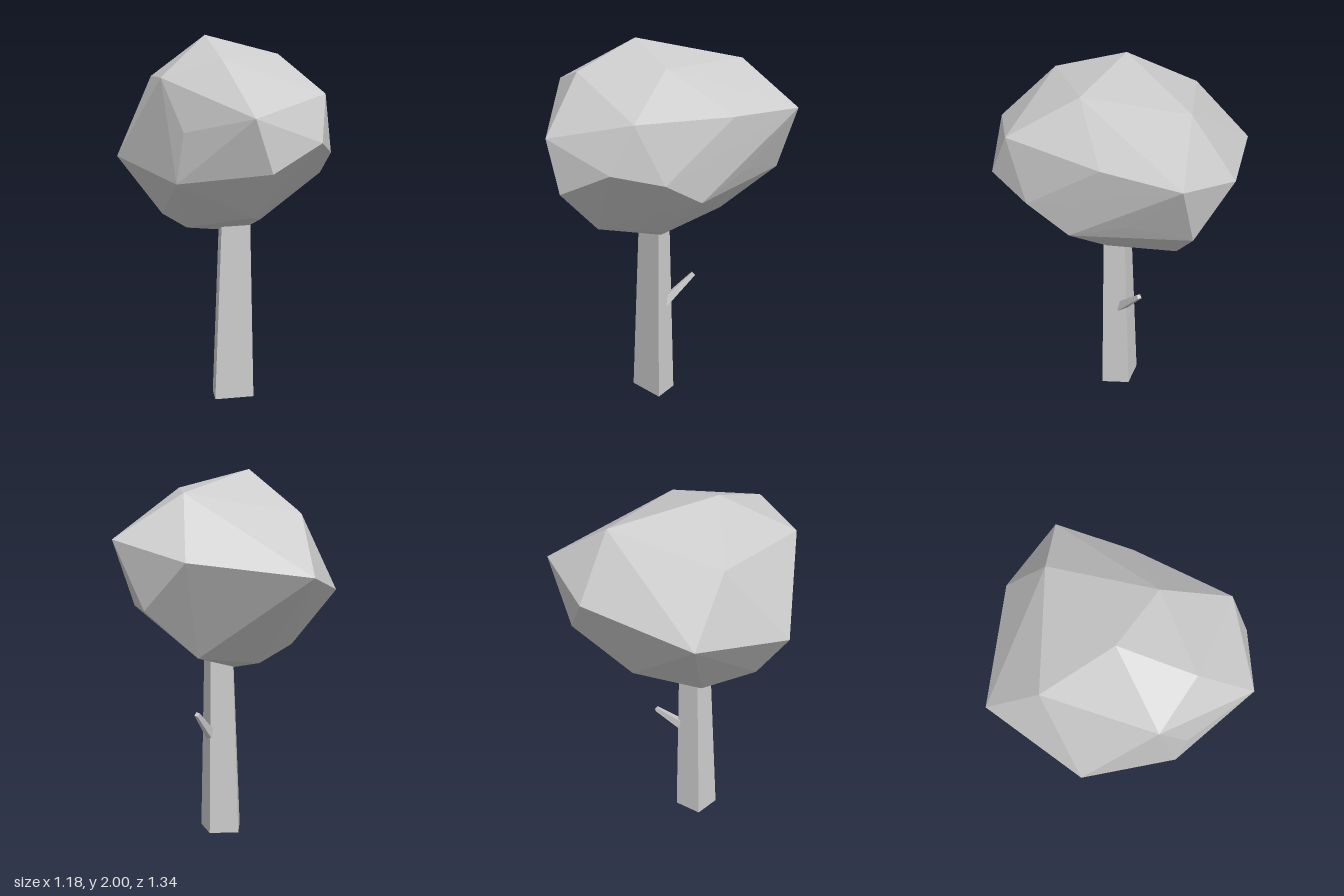
import * as THREE from 'three';
import { ConvexGeometry } from 'three/addons/geometries/ConvexGeometry.js';

const material = new THREE.MeshStandardMaterial({ color: 0xcccccc, flatShading: true });

function add(group, name, geometry) {
  const mesh = new THREE.Mesh(geometry, material);
  mesh.name = name;
  group.add(mesh);
  return mesh;
}

const hull = (corners) => new ConvexGeometry(corners.map((c) => new THREE.Vector3(...c)));

export function createModel() {
  const tree = new THREE.Group();
  tree.name = 'tree';

  // Faceted crown, corners listed from the top down
  add(tree, 'crown', hull([
    // top
    [-0.12, 2.0, 0], [0.25, 1.9, 0.12], [0.24, 1.89, -0.44], [-0.12, 1.87, 0.39],
    [-0.41, 1.78, 0.28], [-0.36, 1.78, -0.31],
    // upper rim
    [0.4, 1.7, 0.46], [0.54, 1.68, -0.08], [0.59, 1.67, -0.5], [0.24, 1.57, -0.67],
    [-0.02, 1.59, 0.67], [-0.32, 1.51, 0.41], [-0.39, 1.485, -0.6],
    // lower rim
    [0.35, 1.46, 0.57], [0.48, 1.39, 0.33], [0.51, 1.38, -0.21], [-0.59, 1.36, -0.06],
    [0.07, 1.32, 0.66], [0.44, 1.32, -0.52], [0.1, 1.3, -0.51], [0.5, 1.26, 0.1],
    [-0.35, 1.25, 0.37],
    // underside
    [0.04, 1.07, 0.4], [0.17, 1.05, -0.37], [-0.36, 1.05, 0.01], [0.17, 1.01, 0.08],
    [-0.16, 0.99, -0.21], [-0.24, 0.98, 0.08], [0.12, 0.97, 0.03], [-0.04, 0.94, -0.06],
  ]));

  // Four-sided trunk, narrower at the back and toward the top
  add(tree, 'trunk', hull([
    [-0.08, 0, 0.06], [0.14, 0, 0.06], [0.1, 0, -0.09], [-0.06, 0, -0.09],
    [-0.04, 1, 0.05], [0.12, 1, 0.05], [0.09, 1, -0.06], [-0.03, 1, -0.06],
  ]));

  // Short tapered branch stub
  const start = new THREE.Vector3(0.08, 0.54, -0.03);
  const end = new THREE.Vector3(0.17, 0.705, -0.17);
  const along = end.clone().sub(start);
  const branch = add(tree, 'branch', new THREE.CylinderGeometry(0.016, 0.034, along.length(), 4));
  branch.position.copy(start).add(end).multiplyScalar(0.5);
  branch.quaternion.setFromUnitVectors(new THREE.Vector3(0, 1, 0), along.normalize());

  return tree;
}
